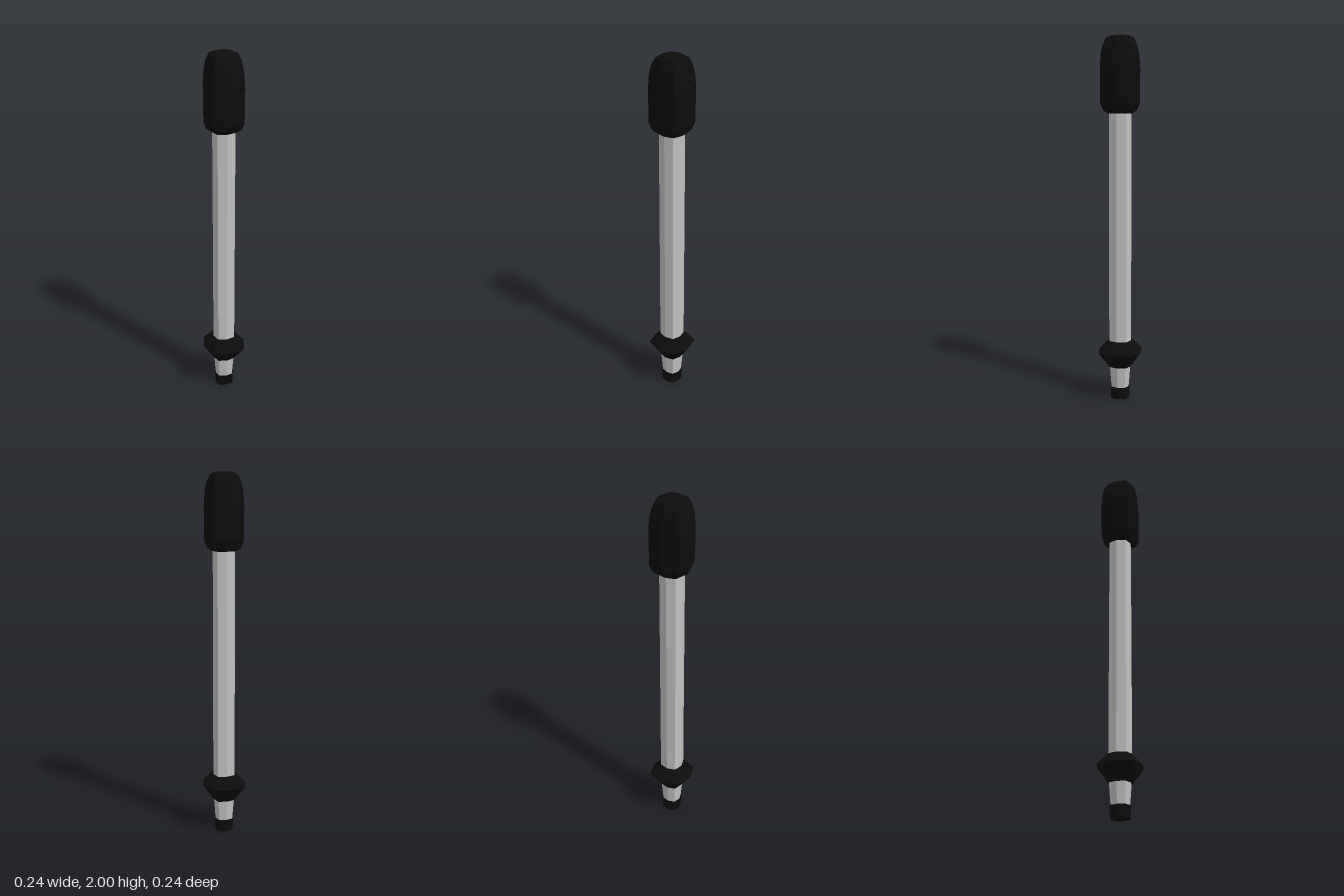
import * as THREE from 'three';

// Eight-sided turned part; the diagonal corners sit slightly further out than the axis ones.
function turned(name, profile, material) {
  const geo = new THREE.LatheGeometry(profile.map(([r, y]) => new THREE.Vector2(r, y)), 8);
  const pos = geo.attributes.position;
  const rows = profile.length;
  for (let i = 0; i < pos.count; i++) {
    const k = Math.floor(i / rows) % 2 ? 1.1 : 1;
    pos.setX(i, pos.getX(i) * k);
    pos.setZ(i, pos.getZ(i) * k);
  }
  geo.computeVertexNormals();
  const mesh = new THREE.Mesh(geo, material);
  mesh.name = name;
  return mesh;
}

export function createModel() {
  const black = new THREE.MeshStandardMaterial({ color: 0x0c0c0c, flatShading: true });
  black.name = 'black rubber';
  const grey = new THREE.MeshStandardMaterial({ color: 0xc0c0c0, flatShading: true });
  grey.name = 'grey metal';

  const group = new THREE.Group();
  group.name = 'handledRod';
  group.add(
    // Foot cap
    turned('footCap', [[0, 0], [0.052, 0], [0.054, 0.065], [0, 0.065]], black),
    // Tapered tip between cap and collar
    turned('taperedTip', [[0.049, 0.06], [0.059, 0.19]], grey),
    // Flared collar
    turned('collar', [[0, 0.18], [0.06, 0.18], [0.122, 0.268], [0.066, 0.33], [0, 0.33]], black),
    // Long shaft
    turned('shaft', [[0.062, 0.32], [0.062, 1.6]], grey),
    // Rounded grip
    turned('grip', [
      [0, 1.587], [0.068, 1.587], [0.094, 1.605], [0.109, 1.645], [0.11, 1.83],
      [0.105, 1.9], [0.094, 1.95], [0.077, 1.985], [0.052, 1.998], [0, 2],
    ], black),
  );
  return group;
}
